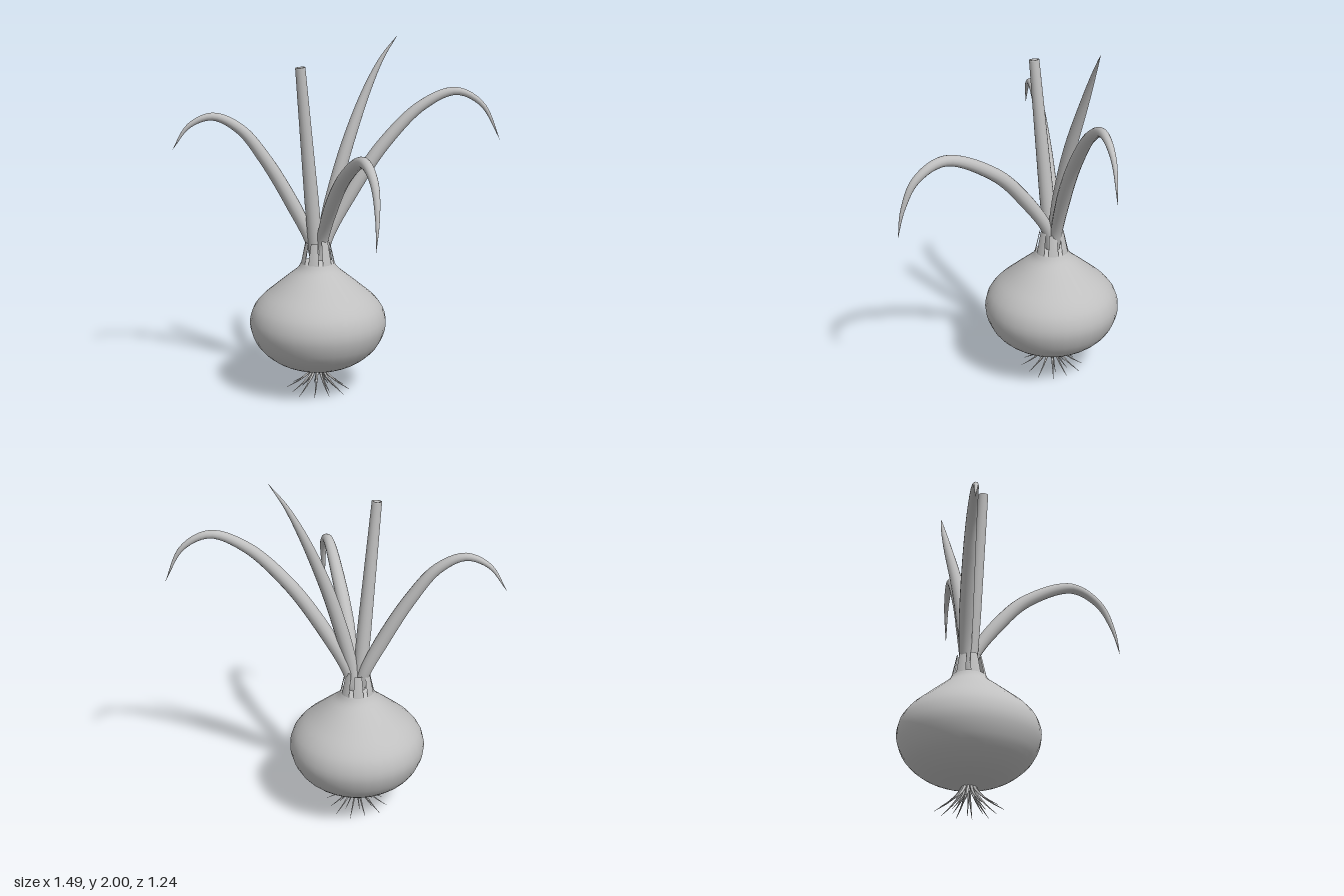
import * as THREE from 'three';

const CX = -0.07, CZ = 0.017; // bulb axis

// Tube along a smooth curve whose radius follows radiusAt(t)
function taperedTube(points, radiusAt, segments, sides) {
  const curve = new THREE.CatmullRomCurve3(points.map(p => new THREE.Vector3(...p)));
  const geo = new THREE.TubeGeometry(curve, segments, 1, sides, false);
  const pos = geo.attributes.position, v = new THREE.Vector3();
  for (let i = 0; i <= segments; i++) {
    const c = curve.getPointAt(i / segments), r = radiusAt(i / segments);
    for (let j = 0; j <= sides; j++) {
      const k = i * (sides + 1) + j;
      v.fromBufferAttribute(pos, k).sub(c).multiplyScalar(r).add(c);
      pos.setXYZ(k, v.x, v.y, v.z);
    }
  }
  return geo;
}

export function createModel() {
  const group = new THREE.Group();
  const grey = new THREE.MeshStandardMaterial({ color: 0xc0c0c0, side: THREE.DoubleSide });
  grey.name = 'plain grey';
  const add = (name, geo, parent = group) => {
    const mesh = new THREE.Mesh(geo, grey);
    mesh.name = name;
    parent.add(mesh);
    return mesh;
  };

  // Bulb
  const outline = [[0.001, 0.125], [0.07, 0.13], [0.17, 0.155], [0.26, 0.2], [0.34, 0.275], [0.383, 0.38],
    [0.372, 0.47], [0.325, 0.54], [0.25, 0.605], [0.17, 0.67], [0.115, 0.715], [0.092, 0.75]];
  const profile = new THREE.SplineCurve(outline.map(p => new THREE.Vector2(...p))).getPoints(36);
  profile.push(new THREE.Vector2(0.06, 0.765), new THREE.Vector2(0.001, 0.77));
  add('bulb', new THREE.LatheGeometry(profile, 32)).position.set(CX, 0, CZ);

  // Cut sheath strips around the neck
  const neck = new THREE.Group();
  neck.name = 'neckSheaths';
  neck.position.set(CX, 0, CZ);
  group.add(neck);
  for (let i = 0; i < 7; i++) {
    const h = 0.12 + 0.015 * (i % 2);
    const strip = new THREE.CylinderGeometry(0.068, 0.095, h, 4, 1, true, -0.05 + i * Math.PI * 2 / 7, 0.62);
    add('sheath', strip, neck).position.y = 0.745 + h / 2;
  }

  // Curved pointed leaves
  const leaves = {
    leftLeaf: [[-0.08, 0.75, 0.015], [-0.115, 0.87, 0.02], [-0.2, 1.08, 0.075], [-0.32, 1.33, 0.16],
      [-0.43, 1.5, 0.24], [-0.55, 1.57, 0.325], [-0.66, 1.52, 0.395], [-0.745, 1.385, 0.44]],
    backLeaf: [[-0.06, 0.75, 0], [-0.03, 0.9, -0.03], [0.1, 1.2, -0.13], [0.22, 1.42, -0.23],
      [0.38, 1.62, -0.36], [0.53, 1.695, -0.475], [0.65, 1.62, -0.565], [0.74, 1.42, -0.62]],
    frontLeaf: [[-0.06, 0.75, 0.015], [-0.035, 0.88, 0.025], [0.08, 1.1, 0.12], [0.22, 1.28, 0.23],
      [0.44, 1.41, 0.42], [0.56, 1.33, 0.53], [0.61, 1.17, 0.59], [0.62, 1.01, 0.62]],
    tallLeaf: [[-0.07, 0.75, 0], [-0.05, 0.9, -0.01], [-0.01, 1.15, -0.06], [0.035, 1.4, -0.125],
      [0.1, 1.7, -0.23], [0.16, 1.88, -0.3], [0.225, 2, -0.355]]
  };
  const leafRadius = t => 0.04 * (0.75 + 0.25 * Math.min(1, t * 4)) * (1 - t ** 3);
  for (const [name, points] of Object.entries(leaves)) add(name, taperedTube(points, leafRadius, 48, 14));

  // Straight cut stem with a slightly sunken end
  const base = new THREE.Vector3(-0.075, 0.75, 0.02), top = new THREE.Vector3(-0.108, 1.84, 0.132);
  const length = base.distanceTo(top);
  const stem = add('cutStem', new THREE.LatheGeometry([[0.04, 0], [0.04, 0.35], [0.028, length - 0.006],
    [0.028, length], [0.02, length], [0.02, length - 0.012], [0.001, length - 0.012]]
    .map(p => new THREE.Vector2(...p)), 16));
  stem.position.copy(base);
  stem.quaternion.setFromUnitVectors(new THREE.Vector3(0, 1, 0), top.clone().sub(base).normalize());

  // Roots in an outer and an inner ring
  const roots = new THREE.Group();
  roots.name = 'roots';
  roots.position.set(CX, 0, CZ);
  group.add(roots);
  for (const [count, reach, turn] of [[12, 0.18, 0.1], [7, 0.1, 0.3]]) {
    for (let i = 0; i < count; i++) {
      const a = turn + i * Math.PI * 2 / count, r = reach * (1 - 0.12 * (i % 3 === 1));
      const at = (d, y) => [Math.cos(a) * d, y, Math.sin(a) * d];
      const path = [at(0.025, 0.14), at(r * 0.3, 0.095), at(r * 0.62, 0.045), at(r, 0.003)];
      add('root', taperedTube(path, t => 0.009 * (1 - t * 0.9), 10, 6), roots);
    }
  }
  return group;
}
